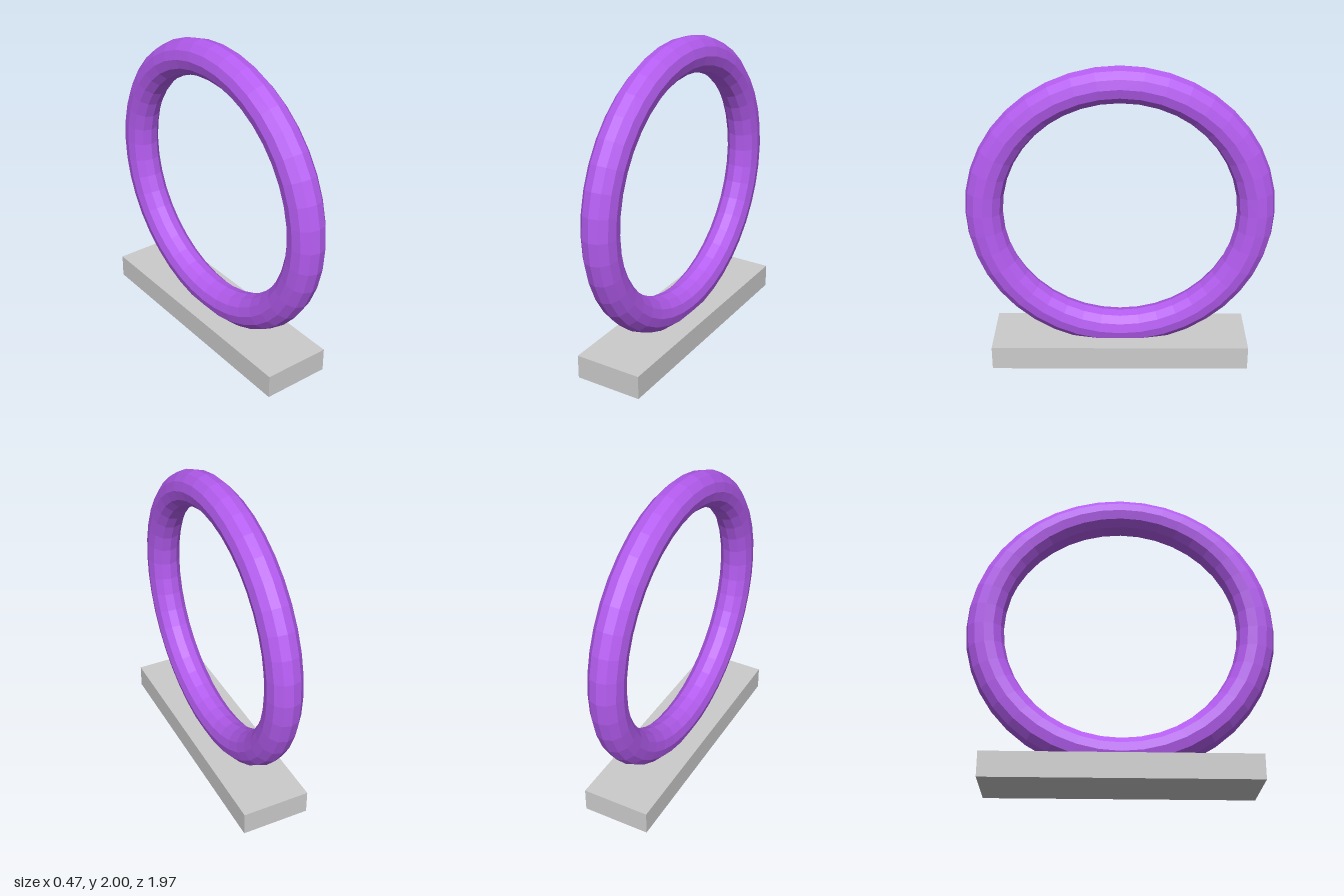
import * as THREE from 'three';

export function createModel() {
  const group = new THREE.Group();

  // flat rectangular foot
  const base = new THREE.Mesh(
    new THREE.BoxGeometry(0.446, 0.157, 1.68),
    new THREE.MeshStandardMaterial({ color: 0xcccccc, flatShading: true })
  );
  base.name = 'base';
  base.position.y = 0.0785;
  group.add(base);

  // faceted upright ring, slightly squashed, sunk into the base
  const ringGeometry = new THREE.TorusGeometry(0.865, 0.12, 12, 40);
  ringGeometry.rotateY(Math.PI / 2);
  ringGeometry.scale(0.92, 0.972, 1);
  const ring = new THREE.Mesh(
    ringGeometry,
    new THREE.MeshStandardMaterial({ color: 0xb45cf0, flatShading: true })
  );
  ring.name = 'ring';
  ring.position.y = 1.043;
  group.add(ring);

  // the whole piece is turned by about one degree
  group.rotation.y = -0.0165;
  return group;
}
